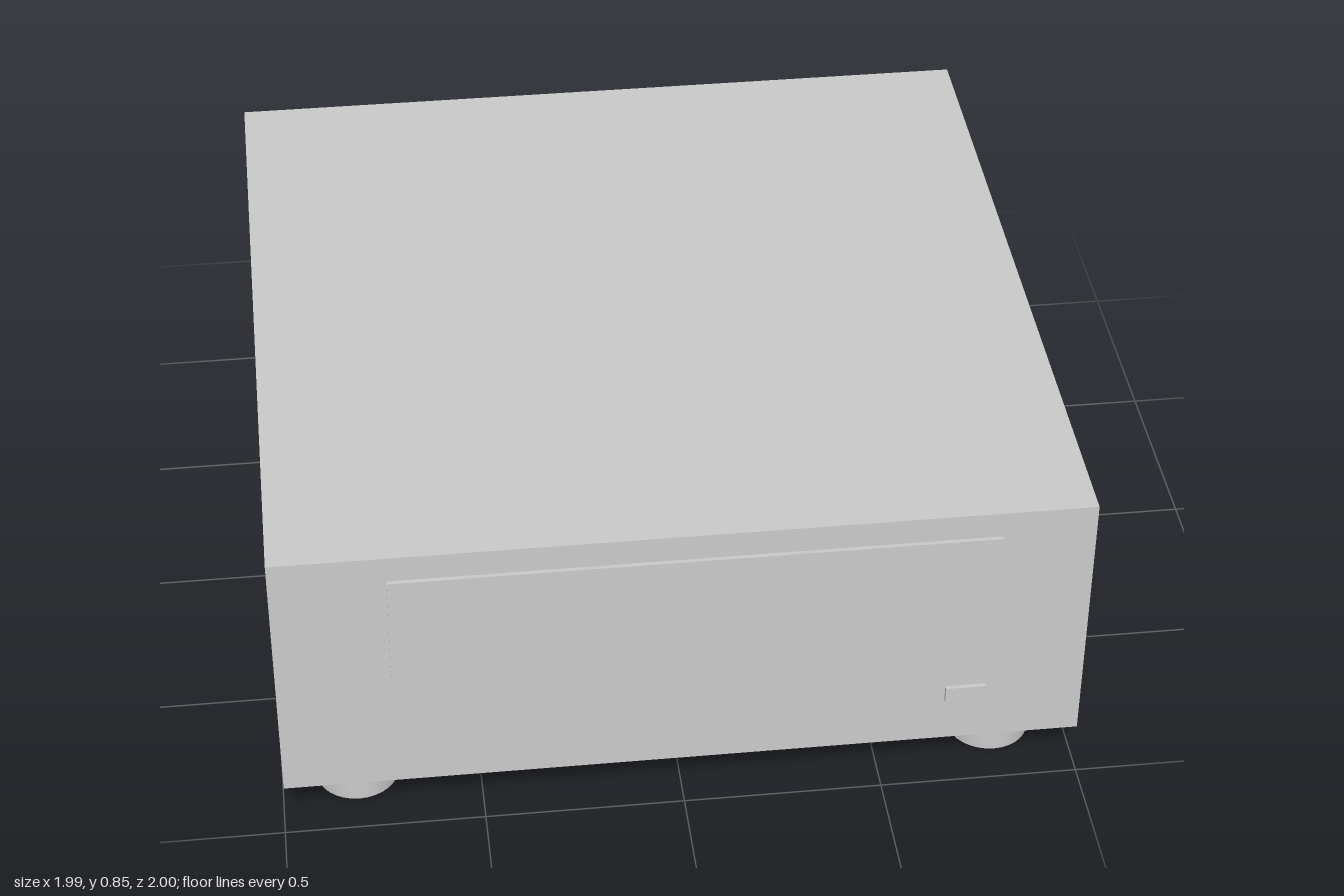
import * as THREE from 'three';

export function createModel() {
  const model = new THREE.Group();
  const material = new THREE.MeshStandardMaterial({ color: 0xcccccc });

  const add = (name, geometry, x, y, z) => {
    const mesh = new THREE.Mesh(geometry, material);
    mesh.name = name;
    mesh.position.set(x, y, z);
    model.add(mesh);
  };

  // Box given by its minimum and maximum corners
  const addBox = (name, [x0, y0, z0], [x1, y1, z1]) =>
    add(name, new THREE.BoxGeometry(x1 - x0, y1 - y0, z1 - z0),
      (x0 + x1) / 2, (y0 + y1) / 2, (z0 + z1) / 2);

  // Main case
  addBox('case', [-0.995, 0.14, -1], [0.995, 0.85, 0.99]);

  // Thin raised plates on the front
  addBox('frontPanel', [-0.715, 0.46, 0.98], [0.765, 0.78, 1]);
  addBox('frontButton', [0.65, 0.265, 0.98], [0.75, 0.31, 1]);

  // Four round feet
  const footGeometry = new THREE.CylinderGeometry(0.104, 0.104, 0.14, 32);
  for (const x of [-0.81, 0.81]) {
    for (const z of [-0.84, 0.795]) add('foot', footGeometry, x, 0.07, z);
  }

  return model;
}
